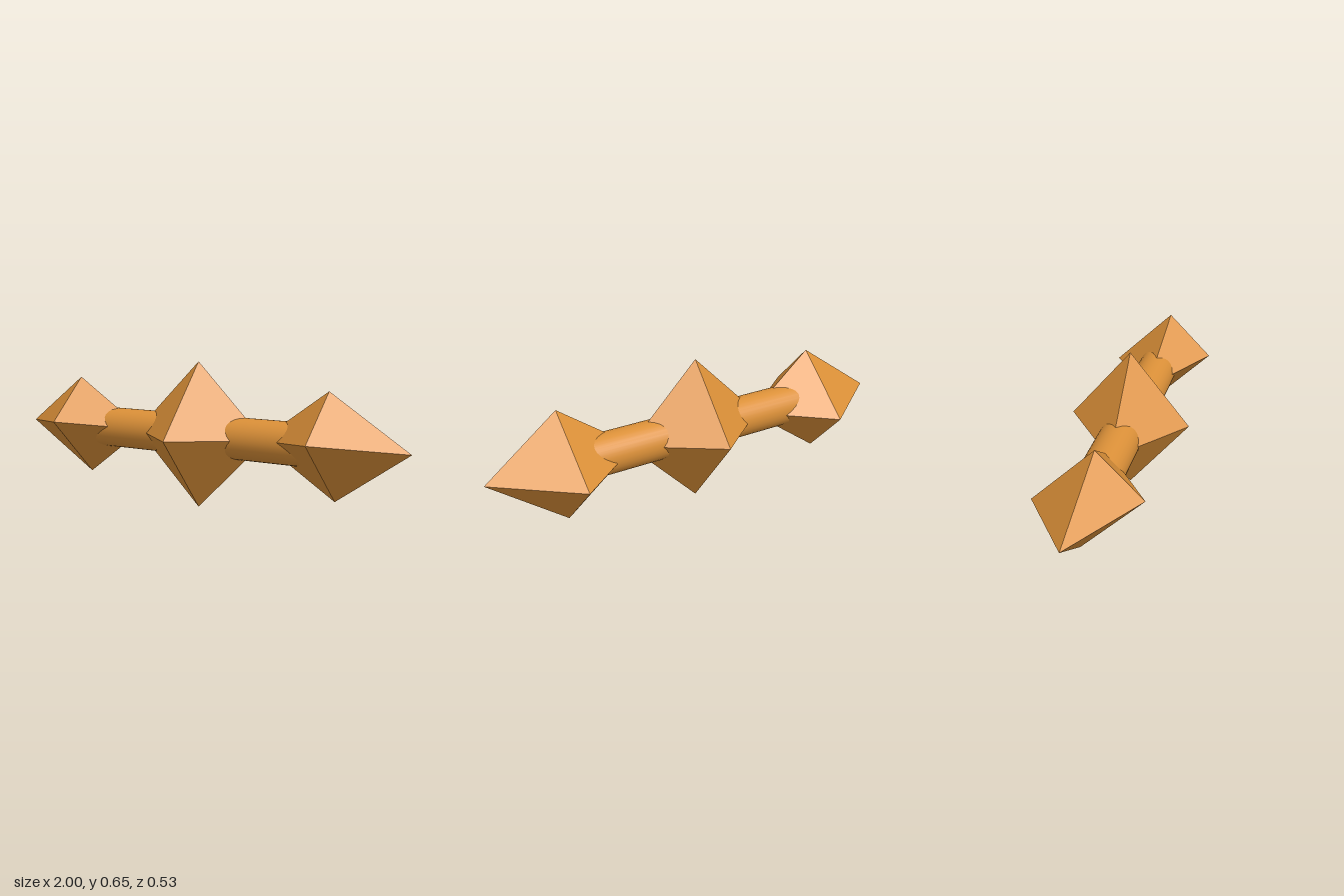
import * as THREE from 'three';

const MID_Y = 0.327;
const HALF_LENGTH = 0.342;

export function createModel() {
  const group = new THREE.Group();
  const amber = new THREE.MeshStandardMaterial({ color: 0xdb9038 });
  amber.name = 'amber';

  function add(name, geometry, x) {
    const mesh = new THREE.Mesh(geometry, amber);
    mesh.name = name;
    mesh.position.set(x, MID_Y, 0);
    group.add(mesh);
  }

  // Eight-sided crystal whose upper and front corners sit at the given offsets
  function crystal(up, front) {
    const basis = new THREE.Matrix4().makeBasis(
      new THREE.Vector3(HALF_LENGTH, 0, 0), up, front);
    const geometry = new THREE.OctahedronGeometry(1).applyMatrix4(basis);
    geometry.computeVertexNormals(); // unshared corners keep the facets flat
    return geometry;
  }

  // Large central crystal
  add('centreCrystal', crystal(
    new THREE.Vector3(0, 0.327, 0), new THREE.Vector3(0, 0, 0.266)), 0);

  // Smaller skewed crystals and the round bars that carry them
  for (const [side, sign] of [['left', 1], ['right', -1]]) {
    add(side + 'Crystal', crystal(
      new THREE.Vector3(0, 0.232, 0.034), new THREE.Vector3(0, 0.034, 0.232)), sign * 0.658);
    const bar = new THREE.CylinderGeometry(0.092, 0.092, 0.6, 32).rotateZ(Math.PI / 2);
    add(side + 'Bar', bar, sign * 0.33);
  }

  return group;
}
